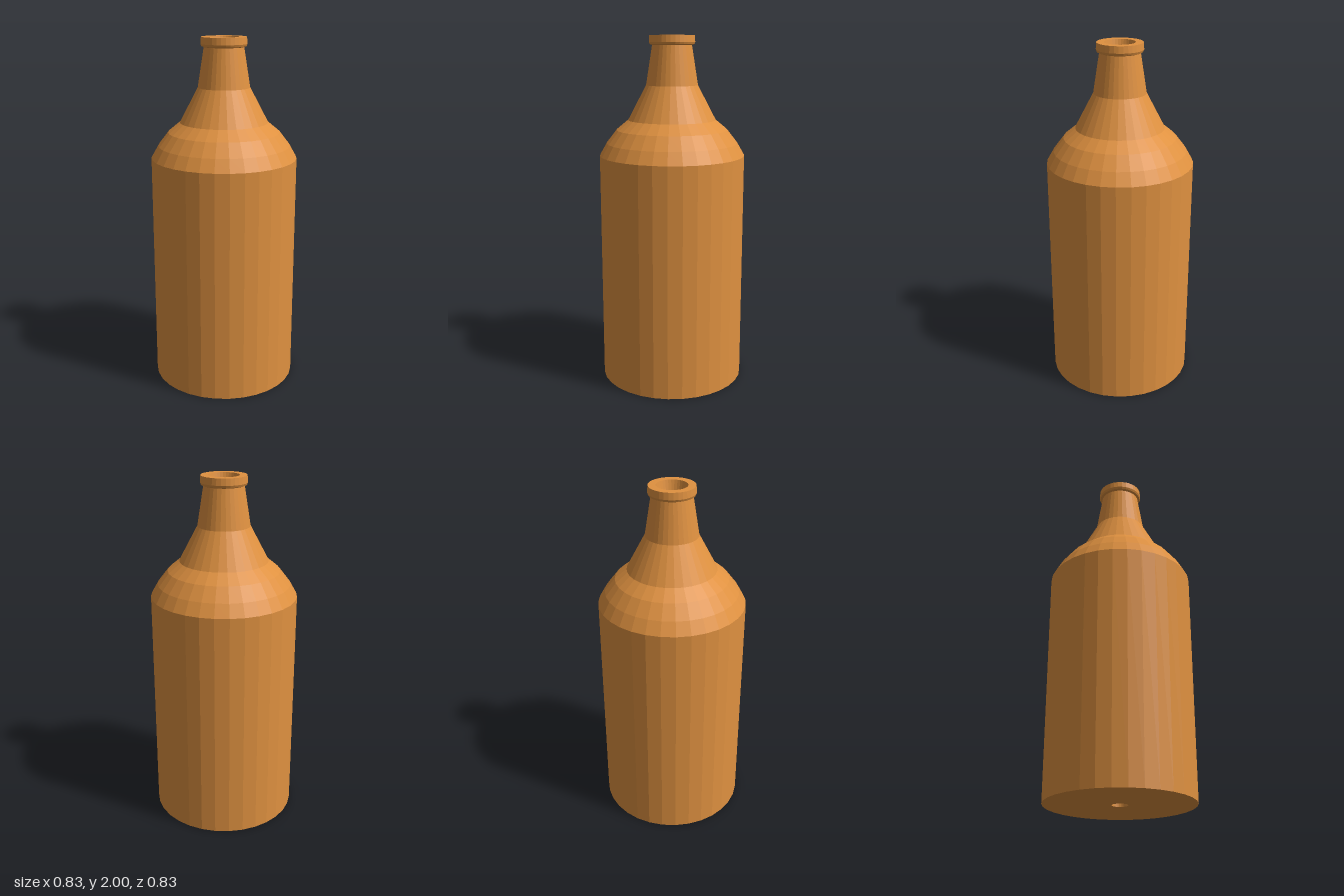
import * as THREE from 'three';

const SIDES = 32;
const material = new THREE.MeshStandardMaterial({ color: 0xdf9140, flatShading: true });

// Revolve a profile of [radius, height] pairs around the y axis
function turned(name, profile) {
  const points = profile.map(([r, y]) => new THREE.Vector2(r, y));
  const mesh = new THREE.Mesh(new THREE.LatheGeometry(points, SIDES), material);
  mesh.name = name;
  return mesh;
}

export function createModel() {
  const bottle = new THREE.Group();
  bottle.name = 'bottle';

  bottle.add(
    // Flat underside with a small round opening
    turned('base', [[0.045, 0], [0.415, 0]]),
    // Straight cylindrical wall
    turned('body', [[0.415, 0], [0.415, 1.33]]),
    // Rounded shoulder
    turned('shoulder', [[0.415, 1.33], [0.375, 1.4], [0.317, 1.475], [0.25, 1.53]]),
    // Tapering neck
    turned('neck', [[0.25, 1.53], [0.147, 1.725], [0.112, 1.945]]),
    // Raised lip with a flat top
    turned('lip', [[0.112, 1.945], [0.125, 1.95], [0.13, 1.962], [0.127, 2], [0.085, 2]]),
    // Funnel-shaped mouth and bore running down through the base
    turned('bore', [[0.085, 2], [0.065, 1.9], [0.045, 1.74], [0.045, 0]]),
  );
  return bottle;
}
